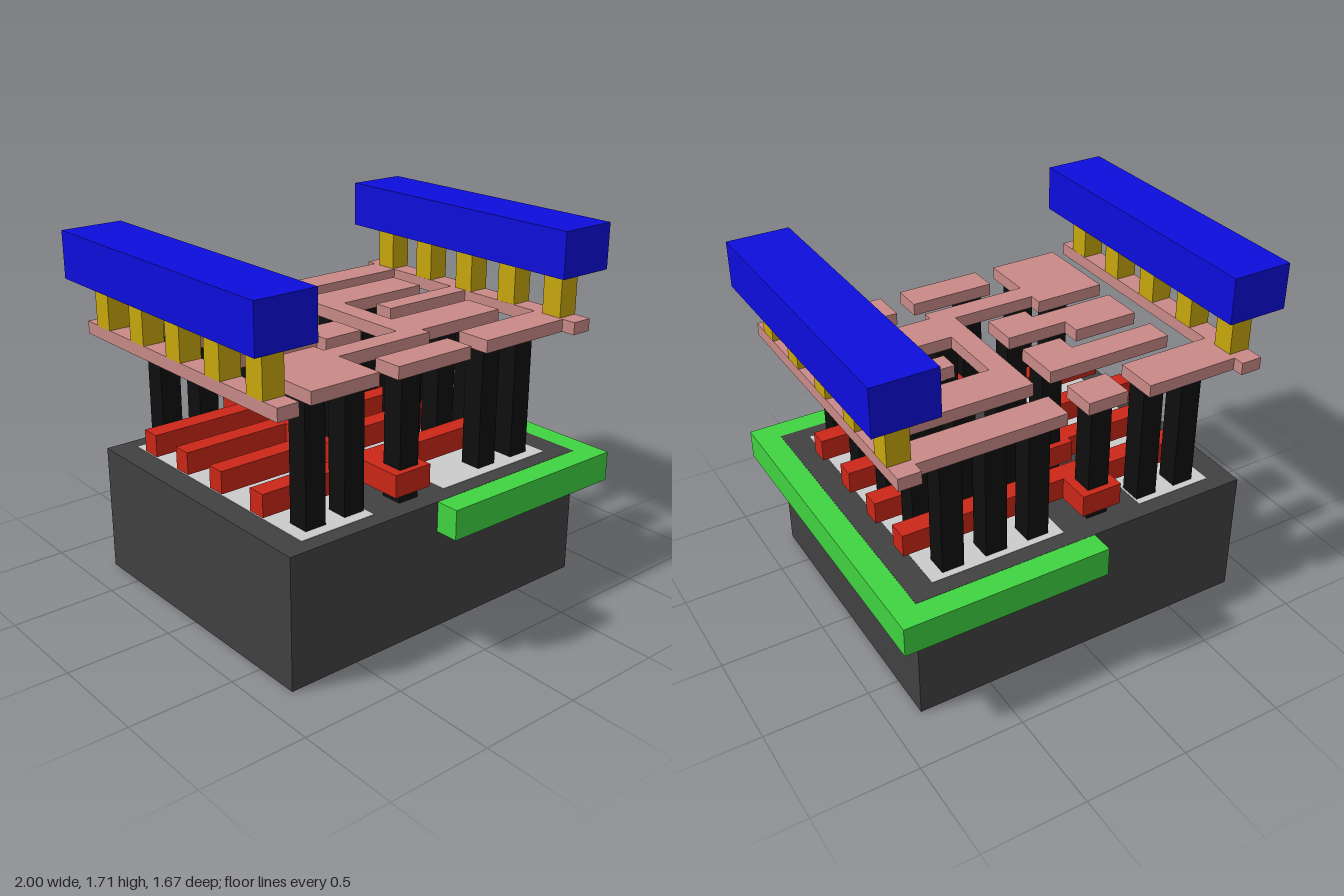
import * as THREE from 'three';

const COLORS = {
  substrate: 0x414141, well: 0x40d441, diffusion: 0xcccccc, gate: 0xcb2718,
  contact: 0x0e0e0e, metal: 0xc98a87, via: 0xc8a80d, power: 0x0d0ddd,
};

export function createModel() {
  const root = new THREE.Group();
  const mats = {};
  for (const key in COLORS) mats[key] = new THREE.MeshStandardMaterial({ color: COLORS[key] });

  function add(name, geometry, mat) {
    const mesh = new THREE.Mesh(geometry, mats[mat]);
    mesh.name = name;
    root.add(mesh);
    return mesh;
  }

  // Box given by its x, y and z ranges
  function box(name, mat, x0, x1, y0, y1, z0, z1) {
    const g = new THREE.BoxGeometry(x1 - x0, y1 - y0, z1 - z0);
    add(name, g, mat).position.set((x0 + x1) / 2, (y0 + y1) / 2, (z0 + z1) / 2);
  }

  // Flat plate with an [x, z] outline, extruded upwards
  function plate(name, mat, y0, y1, outline) {
    const shape = new THREE.Shape(outline.map(([x, z]) => new THREE.Vector2(x, -z)));
    const g = new THREE.ExtrudeGeometry(shape, { depth: y1 - y0, bevelEnabled: false });
    g.rotateX(-Math.PI / 2);
    add(name, g, mat).position.y = y0;
  }

  const TOP = 0.625;
  const M0 = 1.213, M1 = 1.273; // metal layer heights

  // Substrate block, well and the thin diffusion areas on its top
  box('substrate', 'substrate', -0.85, 0.85, 0, TOP, -0.72, 0.72);
  box('well', 'well', -0.04, 0.965, 0.48, TOP - 0.001, -0.835, 0.835);
  box('leftDiffusion', 'diffusion', -0.73, -0.34, TOP - 0.02, TOP + 0.002, -0.64, 0.64);
  box('rightDiffusion', 'diffusion', 0.07, 0.73, TOP - 0.02, TOP + 0.002, -0.64, 0.64);

  // Gate strips: bar z range, then the z range of the wider middle pad
  const gates = [
    [-0.475, -0.38, -0.637, -0.38],
    [-0.21, -0.12, -0.245, -0.083],
    [0.055, 0.145, 0.055, 0.217],
    [0.355, 0.445, 0.355, 0.655],
  ];
  for (const [z0, z1, p0, p1] of gates) {
    plate('gateStrip', 'gate', 0.673, 0.78, [
      [-0.78, z0], [-0.23, z0], [-0.23, p0], [-0.03, p0], [-0.03, z0], [0.78, z0],
      [0.78, z1], [-0.03, z1], [-0.03, p1], [-0.23, p1], [-0.23, z1], [-0.78, z1],
    ]);
  }

  // Contact pillars: z of each row, then the x positions in it
  const contactRows = [
    [-0.553, [-0.612, -0.403, -0.128, 0.185, 0.397, 0.61]],
    [-0.29, [0.185, 0.397, 0.61]],
    [-0.16, [-0.128]],
    [-0.032, [0.397, 0.61]],
    [0.14, [-0.128]],
    [0.25, [0.185, 0.397, 0.61]],
    [0.532, [-0.612, -0.403, 0.397, 0.61]],
    [0.572, [-0.128]],
  ];
  const h = 0.053;
  for (const [z, xs] of contactRows) {
    for (const x of xs) box('contactPillar', 'contact', x - h, x + h, TOP, M0, z - h, z + h);
  }

  // Metal rails with their inward taps [inner x, z start, z end]
  function rail(name, side, taps) {
    const outline = [[0.9 * side, -0.72], [0.795 * side, -0.72]];
    for (const [x, z0, z1] of taps) {
      outline.push([0.795 * side, z0], [x, z0], [x, z1], [0.795 * side, z1]);
    }
    outline.push([0.795 * side, 0.72], [0.9 * side, 0.72]);
    plate(name, 'metal', M0, M1, outline);
  }
  rail('rightMetalRail', -1, [[-0.335, -0.665, -0.455]]);
  rail('leftMetalRail', 1, [[0.085, -0.665, -0.51], [0.3, -0.085, 0.015], [0.3, 0.475, 0.65]]);

  // Input metal pieces
  box('inputMetal', 'metal', -0.23, -0.03, M0, M1, -0.65, -0.48);
  plate('inputMetal', 'metal', M0, M1, [
    [-0.665, -0.35], [-0.03, -0.35], [-0.03, -0.115], [-0.23, -0.115],
    [-0.23, -0.215], [-0.665, -0.215],
  ]);
  plate('inputMetal', 'metal', M0, M1, [
    [-0.665, -0.093], [-0.335, -0.093], [-0.335, 0], [-0.03, 0],
    [-0.03, 0.185], [-0.23, 0.185], [-0.23, 0.12], [-0.665, 0.12],
  ]);
  box('inputMetal', 'metal', -0.23, 0.19, M0, M1, 0.513, 0.66);

  // Branching output metal
  plate('outputMetal', 'metal', M0, M1, [
    [-0.69, 0.23], [-0.335, 0.23], [-0.335, 0.295], [0.085, 0.295],
    [0.085, -0.395], [0.685, -0.395], [0.685, -0.195], [0.19, -0.195],
    [0.19, 0.145], [0.685, 0.145], [0.685, 0.35], [0.19, 0.35],
    [0.19, 0.4], [-0.335, 0.4], [-0.335, 0.66], [-0.69, 0.66],
  ]);

  // Vias and power bars on both sides
  for (const side of [-1, 1]) {
    const x = 0.849 * side;
    for (let i = -2; i <= 2; i++) {
      const z = i * 0.2885;
      box('via', 'via', x - h, x + h, M1, 1.49, z - 0.054, z + 0.054);
    }
    box('powerBar', 'power', x - 0.149, x + 0.149, 1.49, 1.71, -0.72, 0.72);
  }

  return root;
}
